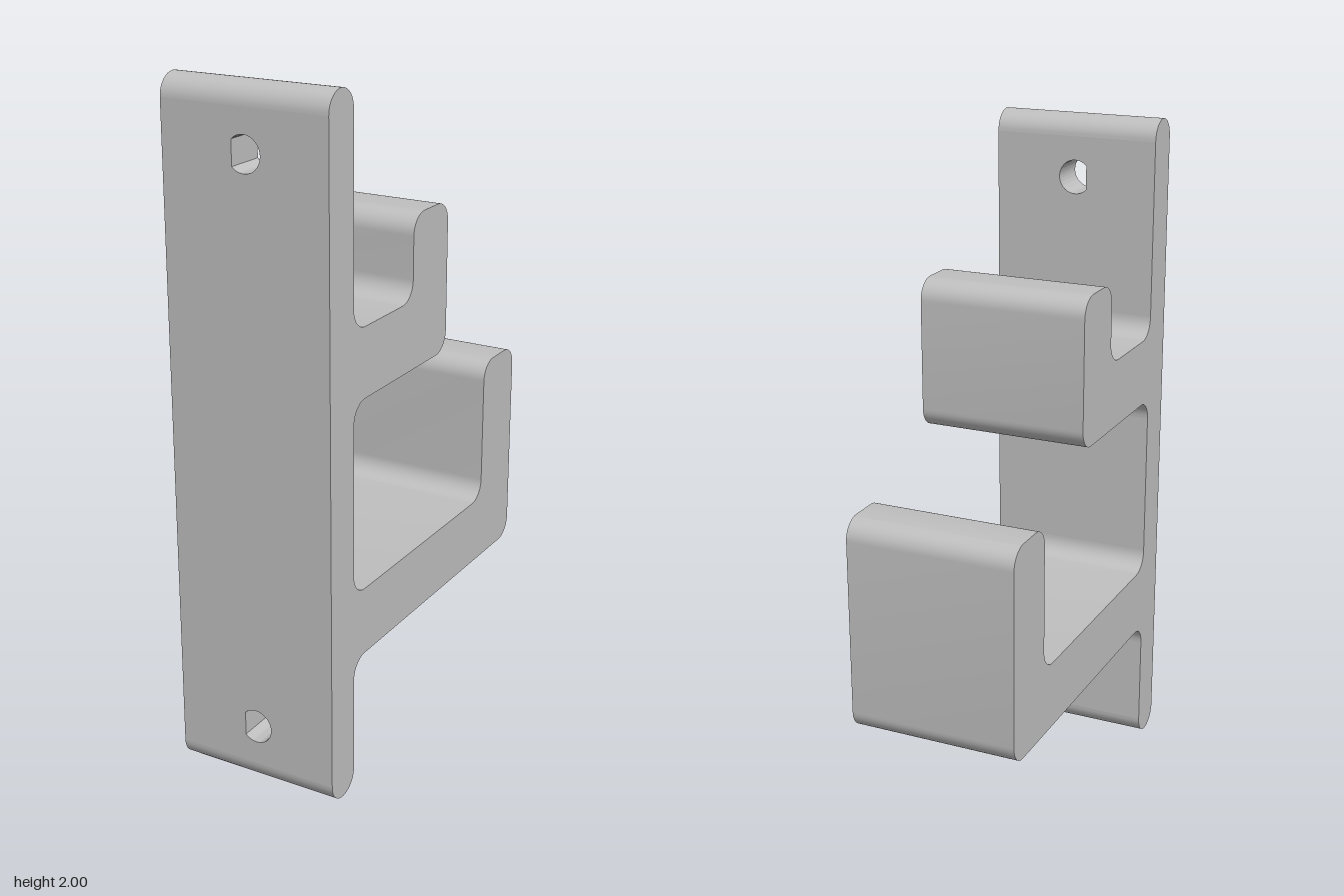
import * as THREE from 'three';
import { toCreasedNormals } from 'three/addons/utils/BufferGeometryUtils.js';

const WIDTH = 0.5, R = 0.06;          // bracket width, edge and fillet radius
const BACK = 0.43, FRONT = 0.55;      // z of the two plate faces

// Extrude a (z, y) profile across the full width of the bracket
function extrudeAcross(shape) {
  const g = new THREE.ExtrudeGeometry(shape, { depth: WIDTH, bevelEnabled: false, curveSegments: 12 });
  g.rotateY(-Math.PI / 2).translate(WIDTH / 2, 0, 0);
  return toCreasedNormals(g, 0.6);
}

// Path through corner points, each rounded with radius R; the two ends stay sharp
function roundedProfile(points) {
  const pts = points.map(([z, y]) => new THREE.Vector2(z, y));
  const shape = new THREE.Shape().moveTo(pts[0].x, pts[0].y);
  for (let i = 1; i < pts.length - 1; i++) {
    const c = pts[i];
    const toward = (p, d) => p.clone().sub(c).setLength(d).add(c);
    const k = R * (1 - 0.5523);
    const a = toward(pts[i - 1], R), b = toward(pts[i + 1], R);
    const ca = toward(pts[i - 1], k), cb = toward(pts[i + 1], k);
    shape.lineTo(a.x, a.y);
    shape.bezierCurveTo(ca.x, ca.y, cb.x, cb.y, b.x, b.y);
  }
  const end = pts[pts.length - 1];
  shape.lineTo(end.x, end.y);
  shape.closePath();
  return shape;
}

// J-shaped hook: arm from the plate with an upturned lip, filleted at the root
function hookGeometry(bottom, floor, top, inner, outer) {
  return extrudeAcross(roundedProfile([
    [BACK, floor + R], [BACK, floor], [inner, floor], [inner, top],
    [outer, top], [outer, bottom], [BACK, bottom], [BACK, bottom - R],
  ]));
}

// Teardrop screw hole with its point towards -x
function teardrop(y, r = 0.05) {
  const hole = new THREE.Path().moveTo(-r * Math.SQRT2, y);
  hole.absarc(0, y, r, -Math.PI * 0.75, Math.PI * 0.75, false);
  hole.closePath();
  return hole;
}

export function createModel() {
  const group = new THREE.Group();
  const grey = new THREE.MeshStandardMaterial({ color: 0xbfbfbf });
  grey.name = 'grey';
  const add = (name, geometry) => {
    const mesh = new THREE.Mesh(geometry, grey);
    mesh.name = name;
    group.add(mesh);
  };

  // Wall plate with two screw holes
  const w = WIDTH / 2;
  const plate = new THREE.Shape().moveTo(-w, R).lineTo(w, R).lineTo(w, 2 - R).lineTo(-w, 2 - R);
  plate.closePath();
  plate.holes.push(teardrop(0.18), teardrop(1.82));
  const plateGeometry = new THREE.ExtrudeGeometry(plate, {
    depth: FRONT - BACK, bevelEnabled: false, curveSegments: 32,
  });
  plateGeometry.translate(0, 0, BACK);
  add('wallPlate', toCreasedNormals(plateGeometry, 0.6));

  // Half-round ends of the plate
  const mid = (FRONT + BACK) / 2;
  for (const [name, y, start] of [['plateTopEnd', 2 - R, 0], ['plateBottomEnd', R, Math.PI]]) {
    const cap = new THREE.Shape();
    cap.absarc(mid, y, R, start, start + Math.PI, false);
    cap.closePath();
    add(name, extrudeAcross(cap));
  }

  // Short upper hook and long lower hook
  add('upperHook', hookGeometry(1.16, 1.36, 1.6, 0.11, -0.09));
  add('lowerHook', hookGeometry(0.4, 0.6, 1.04, -0.35, -0.55));

  return group;
}
